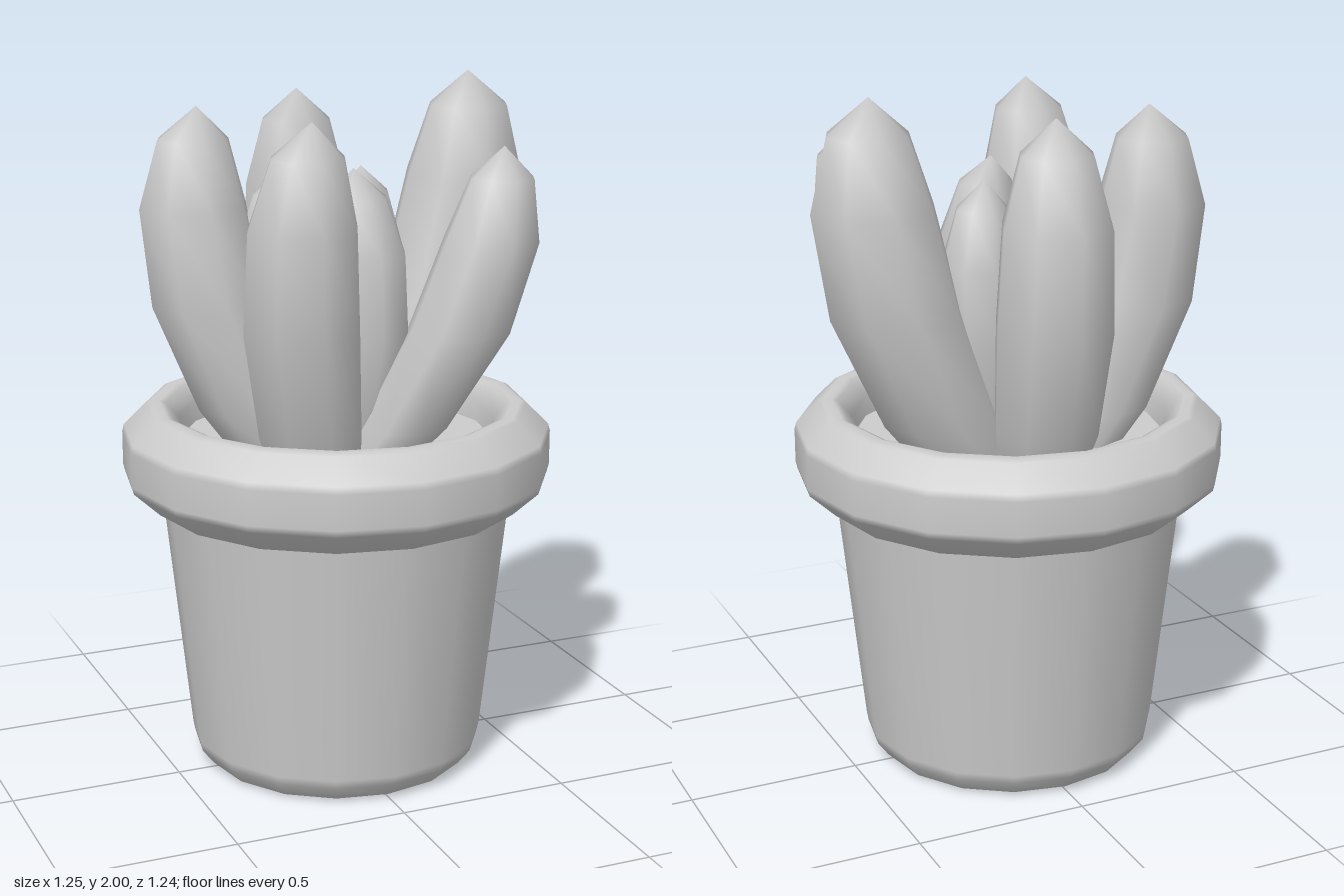
import * as THREE from 'three';
import { mergeVertices } from 'three/addons/utils/BufferGeometryUtils.js';

const clay = new THREE.MeshStandardMaterial({ color: 0xcccccc });
clay.name = 'plain grey';

const SIDES = 16;
const LEAF_BASE = 0.9;

function addMesh(parent, name, geometry) {
  const mesh = new THREE.Mesh(geometry, clay);
  mesh.name = name;
  parent.add(mesh);
  return mesh;
}

function lathe(profile, sides) {
  return new THREE.LatheGeometry(profile.map(([r, y]) => new THREE.Vector2(r, y)), sides);
}

// Quadratic through the centres at t = 0.16, 0.46 and 1
function bend(low, mid, tip, t) {
  const a = 0.16, b = 0.46, c = 1;
  return low * (t - b) * (t - c) / ((a - b) * (a - c))
    + mid * (t - a) * (t - c) / ((b - a) * (b - c))
    + tip * (t - a) * (t - b) / ((c - a) * (c - b));
}

// Plump pointed leaf: a spindle whose rings slide along a curved axis
function leafGeometry({ low, mid, tip, height, radius }) {
  const rings = [[0.7, 0], [0.9, 0.16], [1, 0.46], [0.93, 0.73], [0.62, 0.91], [0, 1]];
  const length = height - LEAF_BASE;
  const spindle = lathe(rings.map(([r, t]) => [r * radius, t * length]), 8);
  spindle.deleteAttribute('uv');
  spindle.deleteAttribute('normal');
  const geometry = mergeVertices(spindle, 1e-4);
  const p = geometry.attributes.position;
  for (let i = 0; i < p.count; i++) {
    const t = p.getY(i) / length;
    p.setXYZ(i,
      p.getX(i) + bend(low[0], mid[0], tip[0], t),
      p.getY(i) + LEAF_BASE,
      p.getZ(i) + bend(low[1], mid[1], tip[1], t));
  }
  geometry.computeVertexNormals();
  return geometry;
}

export function createModel() {
  const model = new THREE.Group();
  model.name = 'pottedSucculent';

  // Pot
  const pot = new THREE.Group();
  pot.name = 'pot';
  model.add(pot);
  addMesh(pot, 'potBody', lathe([[0.37, 0], [0.39, 0.01], [0.425, 0.055], [0.43, 0.08], [0.505, 0.78], [0.51, 0.82]], SIDES));
  addMesh(pot, 'potRim', lathe([
    [0.5, 0.795], [0.54, 0.8], [0.615, 0.87], [0.62, 0.89], [0.62, 0.99], [0.615, 1.01],
    [0.55, 1.075], [0.535, 1.08], [0.51, 1.08], [0.495, 1.075], [0.455, 1.03], [0.45, 0.93],
  ], SIDES));
  const base = addMesh(pot, 'potBase', new THREE.CircleGeometry(0.37, SIDES));
  base.rotation.x = Math.PI / 2;

  // Soil
  const soil = addMesh(model, 'soil', new THREE.CircleGeometry(0.46, SIDES));
  soil.rotation.x = -Math.PI / 2;
  soil.position.y = 0.97;

  // Leaves: axis centres as [x, z] near the soil, at the belly and at the tip
  const outer = [
    { low: [0.01, -0.27], mid: [0.02, -0.34], tip: [0, -0.30], height: 1.945, radius: 0.17 },
    { low: [0.25, -0.09], mid: [0.39, -0.11], tip: [0.45, -0.09], height: 2.0, radius: 0.19 },
    { low: [0.12, 0.20], mid: [0.25, 0.29], tip: [0.37, 0.31], height: 1.84, radius: 0.148 },
    { low: [-0.18, 0.25], mid: [-0.23, 0.315], tip: [-0.21, 0.34], height: 1.94, radius: 0.168 },
    { low: [-0.23, -0.10], mid: [-0.34, -0.12], tip: [-0.36, -0.15], height: 1.93, radius: 0.17 },
  ];
  const inner = [
    { low: [0.01, 0.10], mid: [0.03, 0.14], tip: [0.01, 0.10], height: 1.77, radius: 0.13 },
    { low: [-0.09, -0.08], mid: [-0.145, -0.105], tip: [-0.12, -0.10], height: 1.75, radius: 0.12 },
    { low: [0.08, -0.07], mid: [0.13, -0.105], tip: [0.11, -0.08], height: 1.745, radius: 0.12 },
  ];
  const leaves = new THREE.Group();
  leaves.name = 'leaves';
  model.add(leaves);
  outer.forEach((leaf, i) => addMesh(leaves, `outerLeaf${i + 1}`, leafGeometry(leaf)));
  inner.forEach((leaf, i) => addMesh(leaves, `innerLeaf${i + 1}`, leafGeometry(leaf)));

  return model;
}
